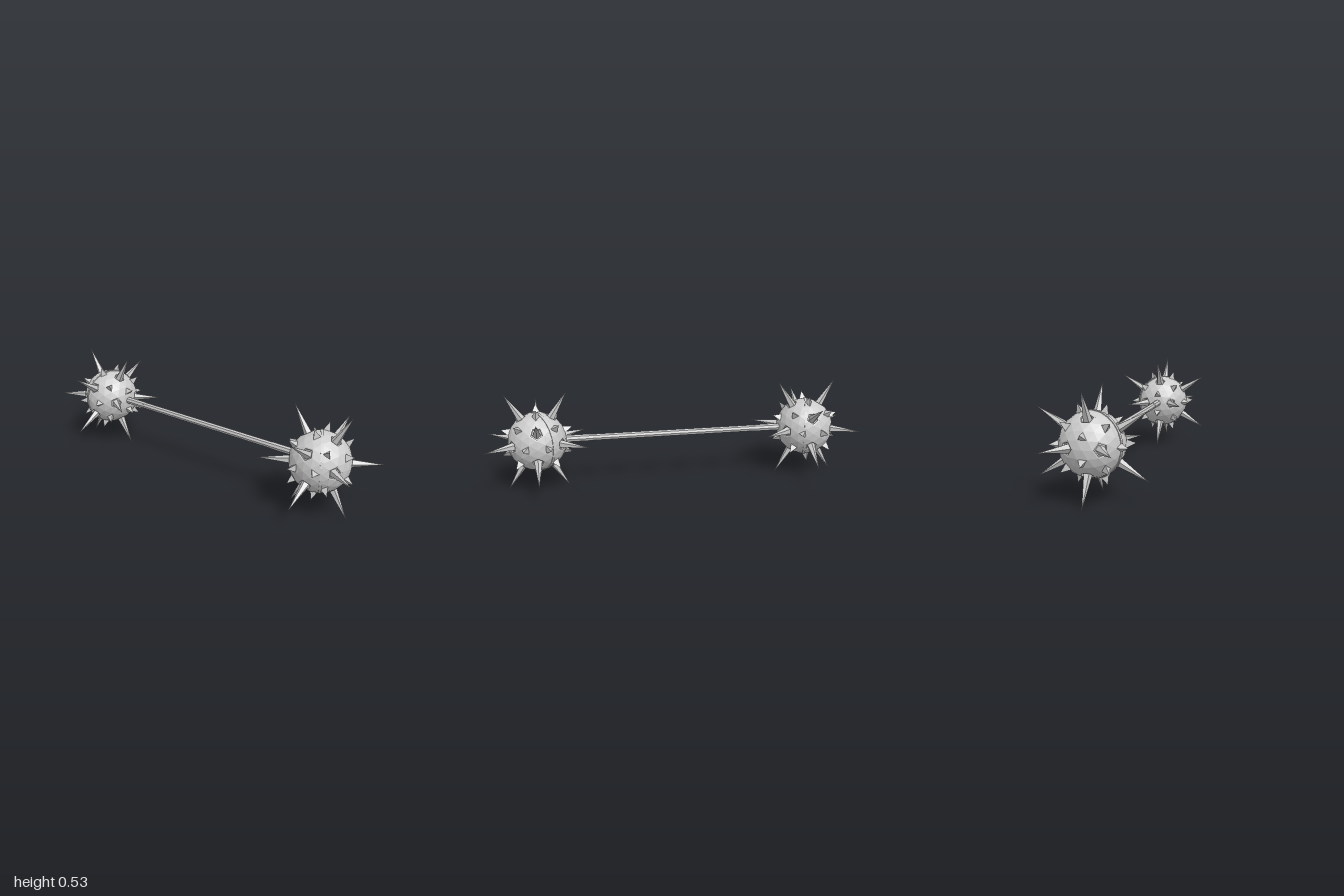
import * as THREE from 'three';

const BALL_R = 0.155, LONG_TIP = 0.31, SHORT_TIP = 0.198;
const CENTRE_Y = 0.264, CENTRE_Z = 0.736;

const material = new THREE.MeshStandardMaterial({ color: 0xcccccc, flatShading: true });

// List of triangles -> flat shaded mesh
function facetMesh(name, triangles) {
  const geometry = new THREE.BufferGeometry().setFromPoints(triangles);
  geometry.computeVertexNormals();
  return named(name, geometry);
}

function named(name, geometry) {
  const mesh = new THREE.Mesh(geometry, material);
  mesh.name = name;
  return mesh;
}

// Unit corner and face-centre directions of a plain icosahedron
function icosahedronDirections() {
  const p = new THREE.IcosahedronGeometry(1, 0).attributes.position;
  const corners = [], centres = [];
  for (let i = 0; i < p.count; i += 3) {
    const tri = [0, 1, 2].map((k) => new THREE.Vector3().fromBufferAttribute(p, i + k));
    corners.push(...tri);
    centres.push(tri[0].clone().add(tri[1]).add(tri[2]).normalize());
  }
  return { corners, centres };
}

// Spiked ball: long spikes in sunk pentagon sockets, short ones on the face centres
function createSpikedBall() {
  const { corners, centres } = icosahedronDirections();
  const p = new THREE.IcosahedronGeometry(BALL_R, 3).attributes.position;
  const shell = [], longSpikes = [], shortSpikes = [];
  const quad = (out, a, b, c, d) => out.push(a, b, c, a, c, d);
  const match = (dirs, v) => dirs.find((d) => d.dot(v.clone().normalize()) > 0.9995);

  for (let i = 0; i < p.count; i += 3) {
    const tri = [0, 1, 2].map((k) => new THREE.Vector3().fromBufferAttribute(p, i + k));
    const mid = tri[0].clone().add(tri[1]).add(tri[2]).divideScalar(3);
    const apex = tri.findIndex((v) => match(corners, v));
    const centre = match(centres, mid);

    if (apex >= 0) {
      // One fifth of a socket: rim, wall, floor, then the spike side
      const axis = tri[apex].clone().normalize();
      const a = tri[(apex + 1) % 3], b = tri[(apex + 2) % 3];
      const ring = (scale, height) => [a, b].map((v) => {
        const side = v.clone().addScaledVector(axis, -v.dot(axis));
        return side.multiplyScalar(scale).addScaledVector(axis, height);
      });
      const rings = [[a, b], ring(0.8, 0.149), ring(0.76, 0.139), ring(0.58, 0.139)];
      for (let k = 0; k < 3; k++) {
        quad(shell, rings[k][0], rings[k][1], rings[k + 1][1], rings[k + 1][0]);
      }
      longSpikes.push(rings[3][0], rings[3][1], axis.clone().multiplyScalar(LONG_TIP));
    } else if (centre) {
      const tip = centre.clone().multiplyScalar(SHORT_TIP);
      const base = tri.map((v) => v.clone().lerp(mid, 0.2));
      for (let k = 0; k < 3; k++) {
        const n = (k + 1) % 3;
        quad(shell, tri[k], tri[n], base[n], base[k]);
        shortSpikes.push(base[k], base[n], tip);
      }
    } else {
      shell.push(...tri);
    }
  }

  const ball = new THREE.Group();
  ball.add(facetMesh('ballShell', shell), facetMesh('longSpikes', longSpikes),
    facetMesh('shortSpikes', shortSpikes));
  ball.rotation.y = Math.PI / 2;
  return ball;
}

// Narrow raised band around the ball
function createSeamBand(angle) {
  const profile = [[0.148, -0.007], [0.157, -0.007], [0.157, 0.007], [0.148, 0.007]]
    .map(([r, h]) => new THREE.Vector2(r, h));
  const geometry = new THREE.LatheGeometry(profile, 32);
  geometry.rotateZ(Math.PI / 2);
  geometry.rotateY(angle);
  return named('seamBand', geometry);
}

// Round bar along z
function createBar(name, radius, length, z) {
  const geometry = new THREE.CylinderGeometry(radius, radius, length, 8);
  geometry.rotateX(Math.PI / 2);
  const bar = named(name, geometry);
  bar.position.set(0, CENTRE_Y + 0.003, z);
  return bar;
}

export function createModel() {
  const model = new THREE.Group();
  model.name = 'spikedBarbell';

  // Bar with a slightly thicker sleeve at each end
  model.add(createBar('bar', 0.018, 1.2, 0));

  for (const [label, side, seamAngle] of [['front', 1, -0.985], ['back', -1, 1.287]]) {
    const head = new THREE.Group();
    head.name = label + 'SpikedBall';
    head.add(createSpikedBall(), createSeamBand(seamAngle));
    head.position.set(0, CENTRE_Y, side * CENTRE_Z);
    model.add(head, createBar(label + 'Sleeve', 0.0195, 0.16, side * 0.53));
  }
  return model;
}
